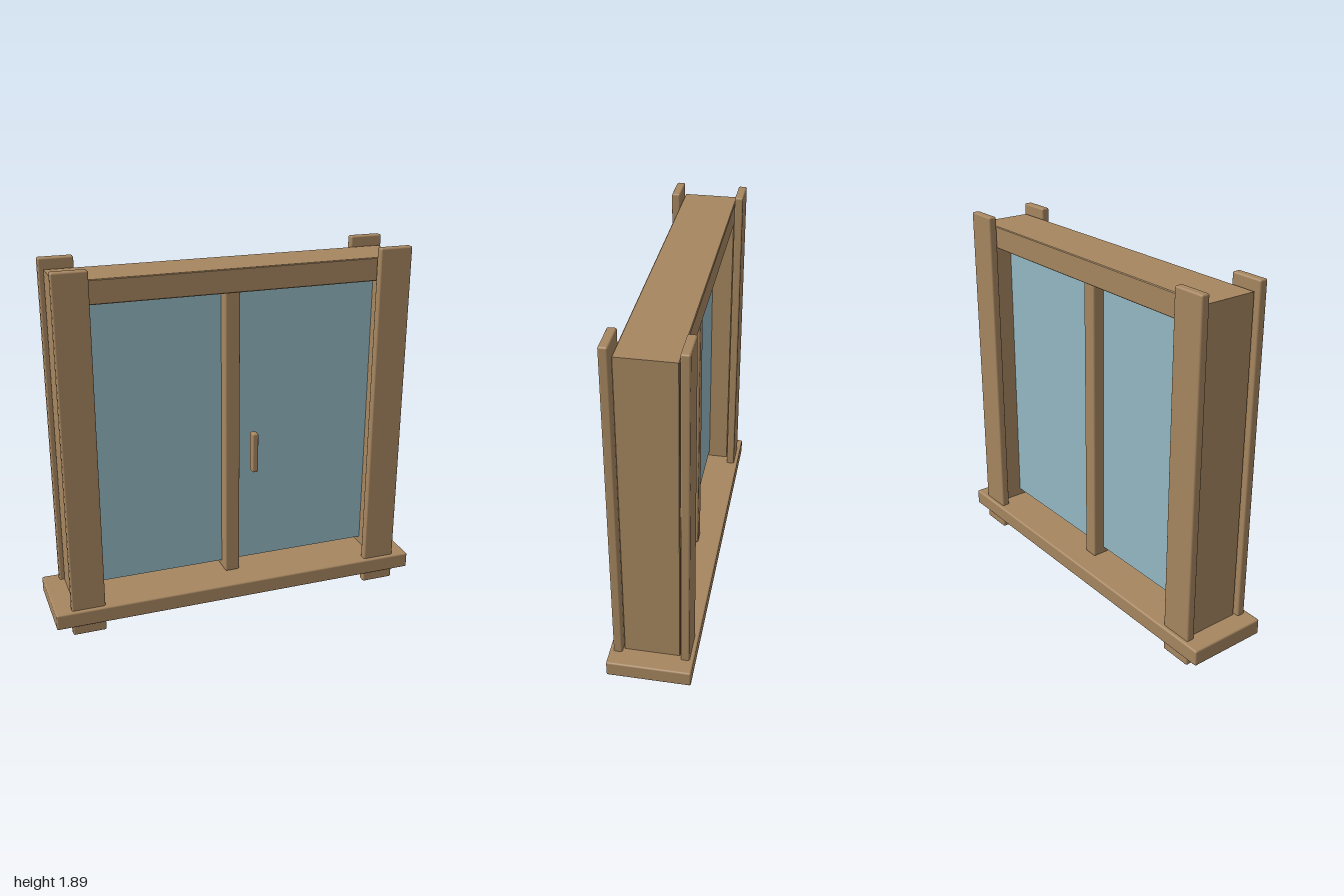
import * as THREE from 'three';
import { RoundedBoxGeometry } from 'three/addons/geometries/RoundedBoxGeometry.js';

export function createModel() {
  const model = new THREE.Group();
  model.name = 'window';

  const wood = new THREE.MeshStandardMaterial({ color: 0xa68660 });
  wood.name = 'wood';
  const paneBlue = new THREE.MeshStandardMaterial({ color: 0x94b8c2 });
  paneBlue.name = 'pane blue';

  function add(name, geometry, material) {
    const mesh = new THREE.Mesh(geometry, material);
    mesh.name = name;
    model.add(mesh);
    return mesh;
  }

  // Softly bevelled bar given by its minimum and maximum corners
  function bar(name, [x0, y0, z0], [x1, y1, z1], radius = 0.009) {
    const geometry = new RoundedBoxGeometry(x1 - x0, y1 - y0, z1 - z0, 2, radius);
    add(name, geometry, wood).position.set((x0 + x1) / 2, (y0 + y1) / 2, (z0 + z1) / 2);
  }

  // Sill
  bar('sill', [-1, 0.06, -0.213], [1, 0.145, 0.213]);

  // Deep frame: two jambs and the head beam in one arch-shaped section
  const bevel = 0.004;
  const outline = [
    [-0.89, 0.14], [-0.8, 0.14], [-0.8, 1.72], [0.8, 1.72],
    [0.8, 0.14], [0.89, 0.14], [0.89, 1.84], [-0.89, 1.84],
  ].map(([x, y]) => new THREE.Vector2(x, y));
  const frame = new THREE.ExtrudeGeometry(new THREE.Shape(outline), {
    depth: 0.284 - 2 * bevel,
    bevelEnabled: true,
    bevelThickness: bevel,
    bevelSize: bevel,
    bevelOffset: -bevel,
    bevelSegments: 1,
  });
  frame.translate(0, 0, -0.142 + bevel);
  add('frame', frame, wood);

  // Four upright planks, front and back, running down through the sill
  for (const side of [-1, 1]) {
    for (const face of [-1, 1]) {
      const x = side * 0.8275;
      const z = face * 0.17;
      bar(`${face > 0 ? 'front' : 'back'}${side > 0 ? 'Left' : 'Right'}Plank`,
        [x - 0.0875, 0, z - 0.022], [x + 0.0875, 1.895, z + 0.022]);
    }
  }

  // Centre post and handle
  bar('centrePost', [-0.04, 0.145, -0.092], [0.04, 1.722, 0.065]);
  bar('handle', [0.08, 0.755, 0.104], [0.112, 0.97, 0.151], 0.007);

  // Pane, stopping just above the sill
  add('pane', new THREE.BoxGeometry(1.61, 1.532, 0.03), paneBlue)
    .position.set(0, 0.949, -0.014);

  return model;
}
